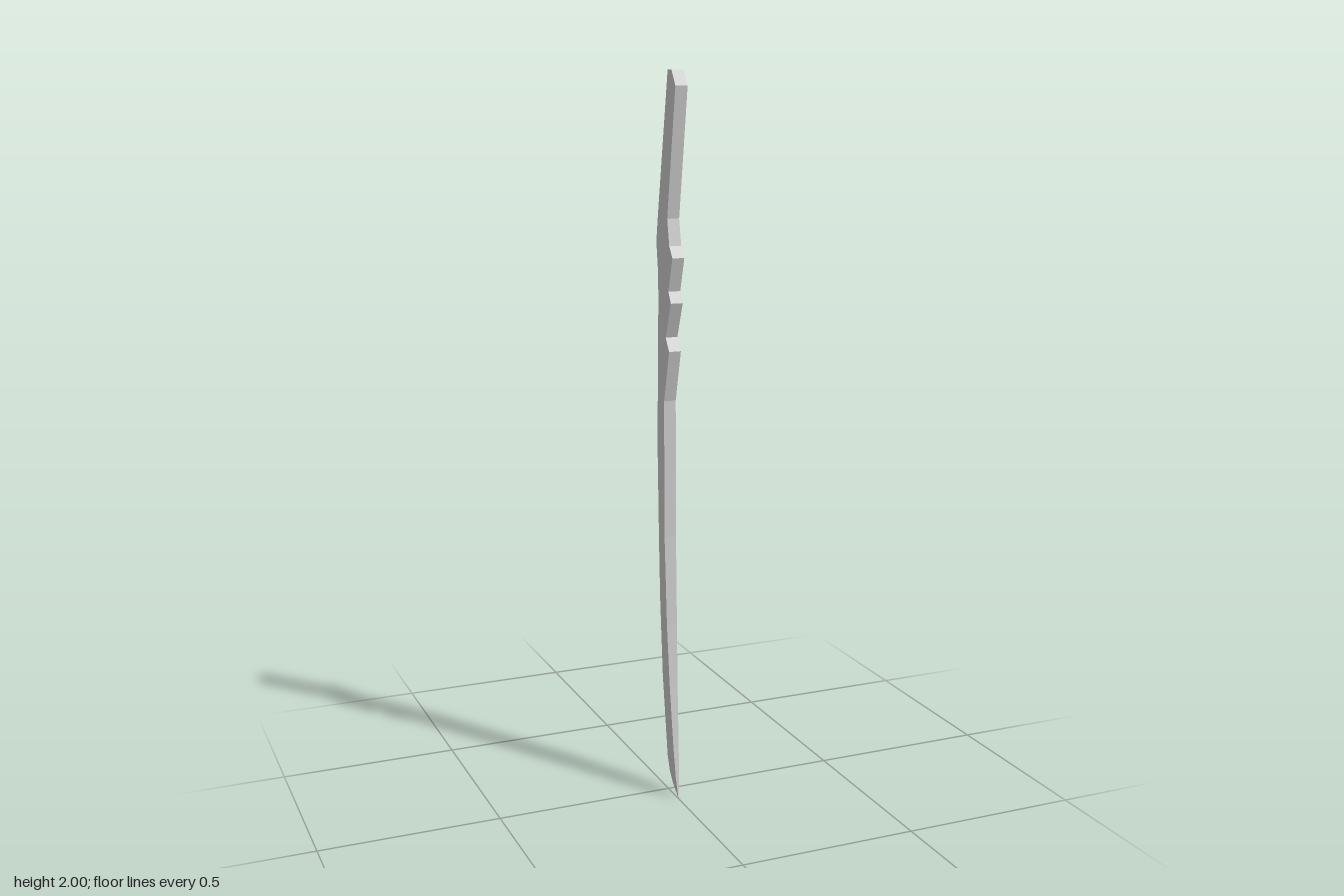
import * as THREE from 'three';

// Rules along the height, as [y, value] pairs from the point up to the pommel
const spine = [[0, 0.073], [0.15, 0.055], [0.33, 0.037], [0.5, 0.025], [0.75, 0.013], [1.13, 0.01],
  [1.27, 0.045], [1.305, 0.021], [1.4, 0.057], [1.43, 0.04], [1.52, 0.067], [1.55, 0.046],
  [1.62, 0.032], [1.96, 0.086], [2, 0.06]];
const edge = [[0, 0.073], [0.03, 0.034], [0.06, 0.01], [0.1, -0.006], [0.33, -0.042], [0.55, -0.061],
  [0.75, -0.07], [1, -0.079], [1.2, -0.075], [1.4, -0.063], [1.55, -0.085], [1.62, -0.033], [2, 0.035]];
const ridge = [[0, 0.073], [0.05, 0.045], [0.12, 0.014], [0.33, -0.006], [0.55, -0.022], [1, -0.036],
  [1.4, -0.03], [1.62, -0.033], [2, 0.035]];
const halfWidth = [[0, 0], [0.06, 0.005], [0.15, 0.008], [0.33, 0.012], [0.5, 0.015], [0.75, 0.017], [2, 0.017]];
const edgeWidth = [[0, 0], [1.55, 0], [1.62, 0.017], [2, 0.017]];

function sample(table, y) {
  let i = 1;
  while (i < table.length - 1 && table[i][0] < y) i++;
  const [y0, v0] = table[i - 1], [y1, v1] = table[i];
  return v0 + (v1 - v0) * (y - y0) / (y1 - y0);
}

// Six-cornered section: flat spine in front, ridges, cutting edge behind
function section(y) {
  const w = sample(halfWidth, y), e = sample(edgeWidth, y);
  const s = sample(spine, y), r = sample(ridge, y), b = sample(edge, y);
  return [[-w, s], [w, s], [w, r], [e, b], [-e, b], [-w, r]].map(([x, z]) => new THREE.Vector3(x, y, z));
}

function loft(from, to, capTop) {
  const heights = [...new Set([spine, edge, ridge, halfWidth].flat().map((p) => p[0]))]
    .filter((y) => y >= from && y <= to).sort((a, b) => a - b);
  const rings = heights.map(section);
  const pos = [];
  const tri = (a, b, c) => {
    const area = b.clone().sub(a).cross(c.clone().sub(a)).length();
    if (area > 1e-9) for (const p of [a, b, c]) pos.push(p.x, p.y, p.z);
  };
  for (let k = 0; k < rings.length - 1; k++) {
    const lo = rings[k], hi = rings[k + 1];
    for (let i = 0; i < 6; i++) {
      const j = (i + 1) % 6;
      tri(lo[i], lo[j], hi[j]);
      tri(lo[i], hi[j], hi[i]);
    }
  }
  if (capTop) {
    const top = rings[rings.length - 1];
    for (let i = 1; i < 5; i++) tri(top[0], top[i], top[i + 1]);
  }
  const geo = new THREE.BufferGeometry();
  geo.setAttribute('position', new THREE.Float32BufferAttribute(pos, 3));
  geo.computeVertexNormals();
  return geo;
}

export function createModel() {
  const group = new THREE.Group();
  group.name = 'curvedSword';
  const material = new THREE.MeshStandardMaterial({ color: 0xcccccc, flatShading: true });

  // Curved blade with the notched spine and the pointed guard
  const blade = new THREE.Mesh(loft(0, 1.62, false), material);
  blade.name = 'blade';

  // Square grip, leaning forward, with a bevelled end
  const grip = new THREE.Mesh(loft(1.62, 2, true), material);
  grip.name = 'grip';

  group.add(blade, grip);
  return group;
}
